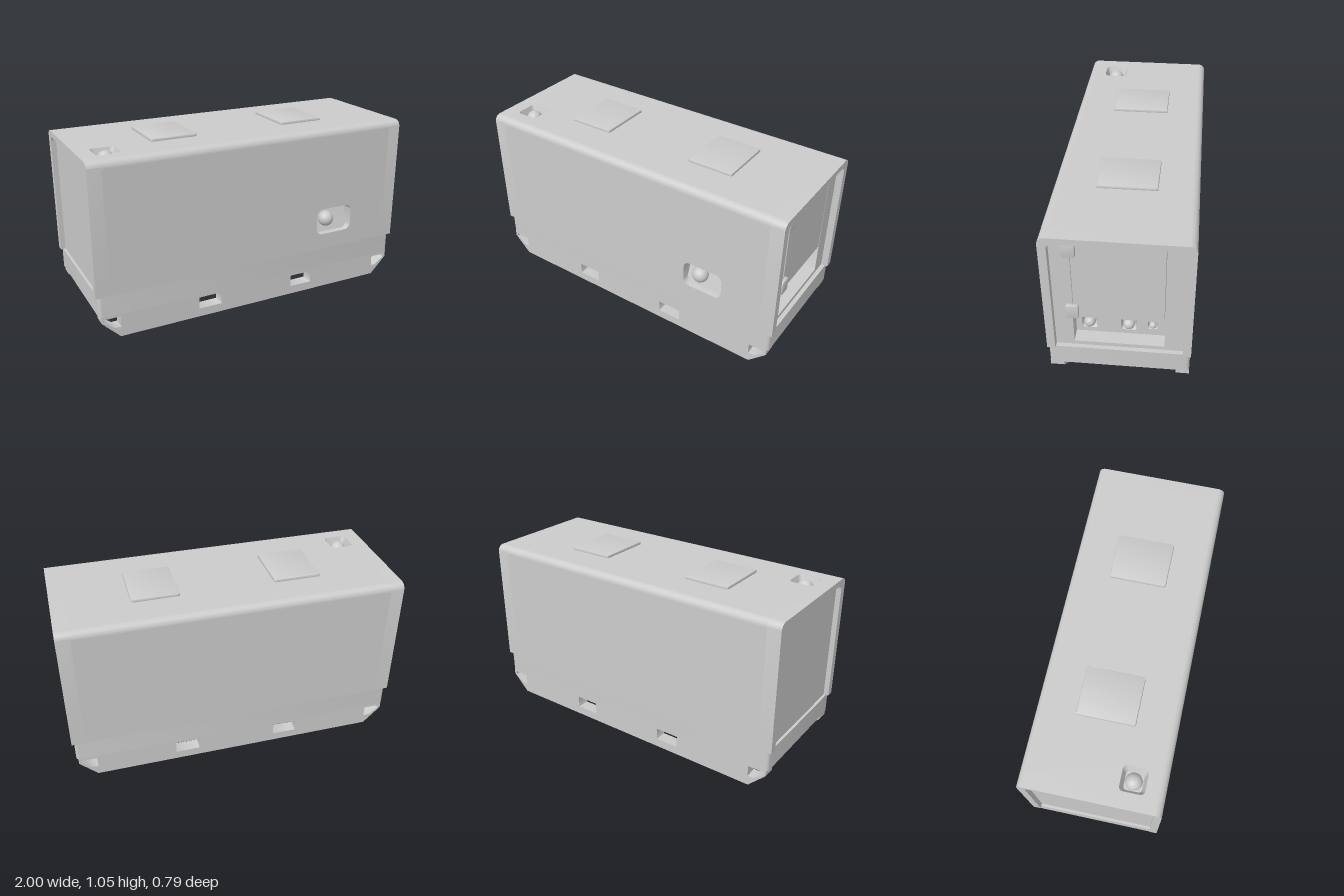
import * as THREE from 'three';
import { toCreasedNormals } from 'three/addons/utils/BufferGeometryUtils.js';

const grey = new THREE.MeshStandardMaterial({ color: 0xcccccc });
const greyDouble = new THREE.MeshStandardMaterial({ color: 0xcccccc, side: THREE.DoubleSide });

function add(parent, name, geometry, x = 0, y = 0, z = 0, material = grey) {
  const mesh = new THREE.Mesh(geometry, material);
  mesh.name = name;
  mesh.position.set(x, y, z);
  parent.add(mesh);
  return mesh;
}

// Rounded rectangle centred on (cx, cy)
function roundRect(w, h, r, cx = 0, cy = 0, Type = THREE.Shape) {
  const s = new Type(), x = w / 2, y = h / 2;
  s.moveTo(cx + x, cy - y + r);
  s.lineTo(cx + x, cy + y - r);
  s.absarc(cx + x - r, cy + y - r, r, 0, Math.PI / 2);
  s.lineTo(cx - x + r, cy + y);
  s.absarc(cx - x + r, cy + y - r, r, Math.PI / 2, Math.PI);
  s.lineTo(cx - x, cy - y + r);
  s.absarc(cx - x + r, cy - y + r, r, Math.PI, Math.PI * 1.5);
  s.lineTo(cx + x - r, cy - y);
  s.absarc(cx + x - r, cy - y + r, r, Math.PI * 1.5, Math.PI * 2);
  return s;
}

const hole = (w, h, r, cx, cy) => roundRect(w, h, r, cx, cy, THREE.Path);

// Plate whose front lies on local z = 0
function plate(shape, depth, bevel = 0) {
  const g = new THREE.ExtrudeGeometry(shape, {
    depth: depth - bevel, curveSegments: 8, bevelEnabled: bevel > 0,
    bevelThickness: bevel, bevelSize: bevel, bevelOffset: -bevel, bevelSegments: 2,
  });
  g.translate(0, 0, -depth);
  return toCreasedNormals(g, 0.7);
}

// Recess lofted from a rim to a smaller floor, which may slope
function cupGeometry(w, h, r, inset, depthTop, depthBottom) {
  const rim = roundRect(w, h, r).getPoints(6);
  const n = rim.length, sx = 1 - 2 * inset / w, sy = 1 - 2 * inset / h;
  const pos = [], index = [];
  for (const p of rim) pos.push(p.x, p.y, 0);
  for (const p of rim) {
    const t = p.y / h + 0.5;
    pos.push(p.x * sx, p.y * sy, -(depthBottom + (depthTop - depthBottom) * t));
  }
  pos.push(0, 0, -(depthTop + depthBottom) / 2);
  for (let i = 0; i < n; i++) {
    const j = (i + 1) % n;
    index.push(i, n + i, j, j, n + i, n + j, n + i, 2 * n, n + j);
  }
  const g = new THREE.BufferGeometry();
  g.setAttribute('position', new THREE.Float32BufferAttribute(pos, 3));
  g.setIndex(index);
  return toCreasedNormals(g, 0.6);
}

// Side wall and top corner profile of the end frame, open at the bottom
function archShape() {
  const s = new THREE.Shape();
  s.moveTo(-0.39, 0.265);
  s.lineTo(-0.345, 0.265);
  s.lineTo(-0.345, 0.96);
  s.quadraticCurveTo(-0.345, 0.995, -0.31, 0.995);
  s.lineTo(0.31, 0.995);
  s.quadraticCurveTo(0.345, 0.995, 0.345, 0.96);
  s.lineTo(0.345, 0.265);
  s.lineTo(0.39, 0.265);
  s.lineTo(0.39, 0.99);
  s.absarc(0.35, 0.99, 0.04, 0, Math.PI / 2);
  s.lineTo(-0.35, 1.03);
  s.absarc(-0.35, 0.99, 0.04, Math.PI / 2, Math.PI);
  return s;
}

function buildShell(model) {
  const shell = new THREE.Group();
  shell.name = 'enclosure';
  model.add(shell);
  for (const s of [1, -1]) {
    add(shell, 'endFrame', plate(archShape(), 0.08), s, 0, 0).rotation.y = s * Math.PI / 2;
    // Rounded long edge of the roof
    const edge = new THREE.Shape();
    edge.moveTo(0, 0);
    edge.absarc(0, 0, 0.04, 0, Math.PI / 2);
    const m = add(shell, 'roofEdge', plate(edge, 1.84), 0.92 * -s, 0.99, 0.35 * s);
    m.rotation.y = -s * Math.PI / 2;
  }
  const front = roundRect(1.84, 0.725, 0.0001, 0, 0.6275);
  front.holes.push(hole(0.25, 0.165, 0.04, 0.54, 0.4475));
  add(shell, 'frontWall', plate(front, 0.04), 0, 0, 0.39);
  add(shell, 'backWall', new THREE.BoxGeometry(1.84, 0.725, 0.04), 0, 0.6275, -0.37);
  const roof = roundRect(1.84, 0.7, 0.0001);
  roof.holes.push(hole(0.14, 0.14, 0.025, -0.84, -0.21));
  add(shell, 'roof', plate(roof, 0.04), 0, 1.03, 0).rotation.x = -Math.PI / 2;

  // Filler recesses with round caps
  add(shell, 'frontRecess', cupGeometry(0.25, 0.165, 0.04, 0.002, 0.085, 0.035), 0.54, 0.4475, 0.39, greyDouble);
  add(shell, 'frontCap', new THREE.SphereGeometry(0.048, 24, 16), 0.505, 0.45, 0.35);
  add(shell, 'roofRecess', cupGeometry(0.14, 0.14, 0.025, 0.02, 0.06, 0.06), -0.84, 1.03, 0.21, greyDouble)
    .rotation.x = -Math.PI / 2;
  add(shell, 'roofCap', new THREE.SphereGeometry(0.047, 24, 16), -0.84, 0.985, 0.21);

  // Roof hatches
  for (const s of [1, -1]) {
    add(shell, 'roofHatch', plate(roundRect(0.28, 0.33, 0.01), 0.016, 0.006), 0.42 * s, 1.046, -0.005)
      .rotation.x = -Math.PI / 2;
  }
}

function buildEnds(model) {
  // Plain end
  add(model, 'plainEndPanel', new THREE.BoxGeometry(0.03, 0.73, 0.7), -0.955, 0.63, 0);

  // Service end, built facing +z and turned to face +x (local x is -z)
  const end = new THREE.Group();
  end.name = 'serviceEnd';
  end.rotation.y = Math.PI / 2;
  model.add(end);
  const panel = roundRect(0.7, 0.733, 0.0001, 0, 0.6315);
  panel.holes.push(hole(0.49, 0.702, 0.0005, 0, 0.641));
  add(end, 'endPanel', plate(panel, 0.09), 0, 0, 0.96);
  add(end, 'door', new THREE.BoxGeometry(0.48, 0.515, 0.08), 0, 0.7315, 0.92);
  for (const y of [0.942, 0.522]) {
    add(end, 'hinge', plate(roundRect(0.07, 0.088, 0.012), 0.02, 0.005), -0.245, y, 0.98);
  }
  add(end, 'hingeRod', new THREE.CylinderGeometry(0.004, 0.004, 0.35, 8), -0.242, 0.73, 0.961);

  // Connection recess below the door
  const knobs = [[-0.17, 0.362, 0.086], [0.045, 0.362, 0.086], [0.175, 0.362, 0.054]];
  const back = roundRect(0.5, 0.71, 0.0001, 0, 0.64);
  for (const [x, y, size] of knobs) back.holes.push(hole(size, size, size * 0.15, x, y));
  add(end, 'recessBack', plate(back, 0.02), 0, 0, 0.88);
  for (const [x, y, size] of knobs) {
    add(end, 'connectorCup', cupGeometry(size, size, size * 0.15, size * 0.15, size * 0.4, size * 0.4),
      x, y, 0.88, greyDouble);
    add(end, 'connectorCap', new THREE.SphereGeometry(size * 0.37, 24, 16), x, y, 0.875);
    add(end, 'connectorTab', new THREE.BoxGeometry(size * 0.25, size * 0.5, size * 0.3),
      x, y + size * 0.24, 0.865);
  }
}

function buildBase(model) {
  const base = new THREE.Group();
  base.name = 'base';
  model.add(base);
  add(base, 'baseTray', plate(roundRect(1.97, 0.77, 0.02), 0.125), 0, 0.265, 0).rotation.x = -Math.PI / 2;

  // Skid rails with fork slots and lifting eyes
  const skid = new THREE.Shape([
    [-0.87, 0], [0.87, 0], [0.975, 0.105], [0.975, 0.142], [-0.975, 0.142], [-0.975, 0.105],
  ].map(([x, y]) => new THREE.Vector2(x, y)));
  for (const s of [1, -1]) {
    skid.holes.push(hole(0.145, 0.073, 0.0005, 0.313 * s, 0.088));
    skid.holes.push(new THREE.Path([[0.865, 0.06], [0.9, 0.06], [0.96, 0.105], [0.96, 0.125], [0.865, 0.125]]
      .map(([x, y]) => new THREE.Vector2(x * s, y))));
  }
  for (const z of [0.385, -0.31]) add(base, 'skidRail', plate(skid, 0.075), 0, 0, z);

  // Cross beams between the rails
  for (const x of [-0.55, 0, 0.55]) {
    add(base, 'crossBeam', new THREE.BoxGeometry(0.14, 0.13, 0.63), x, 0.08, 0);
  }
}

export function createModel() {
  const model = new THREE.Group();
  model.name = 'generatorEnclosure';
  buildShell(model);
  buildEnds(model);
  buildBase(model);
  return model;
}
